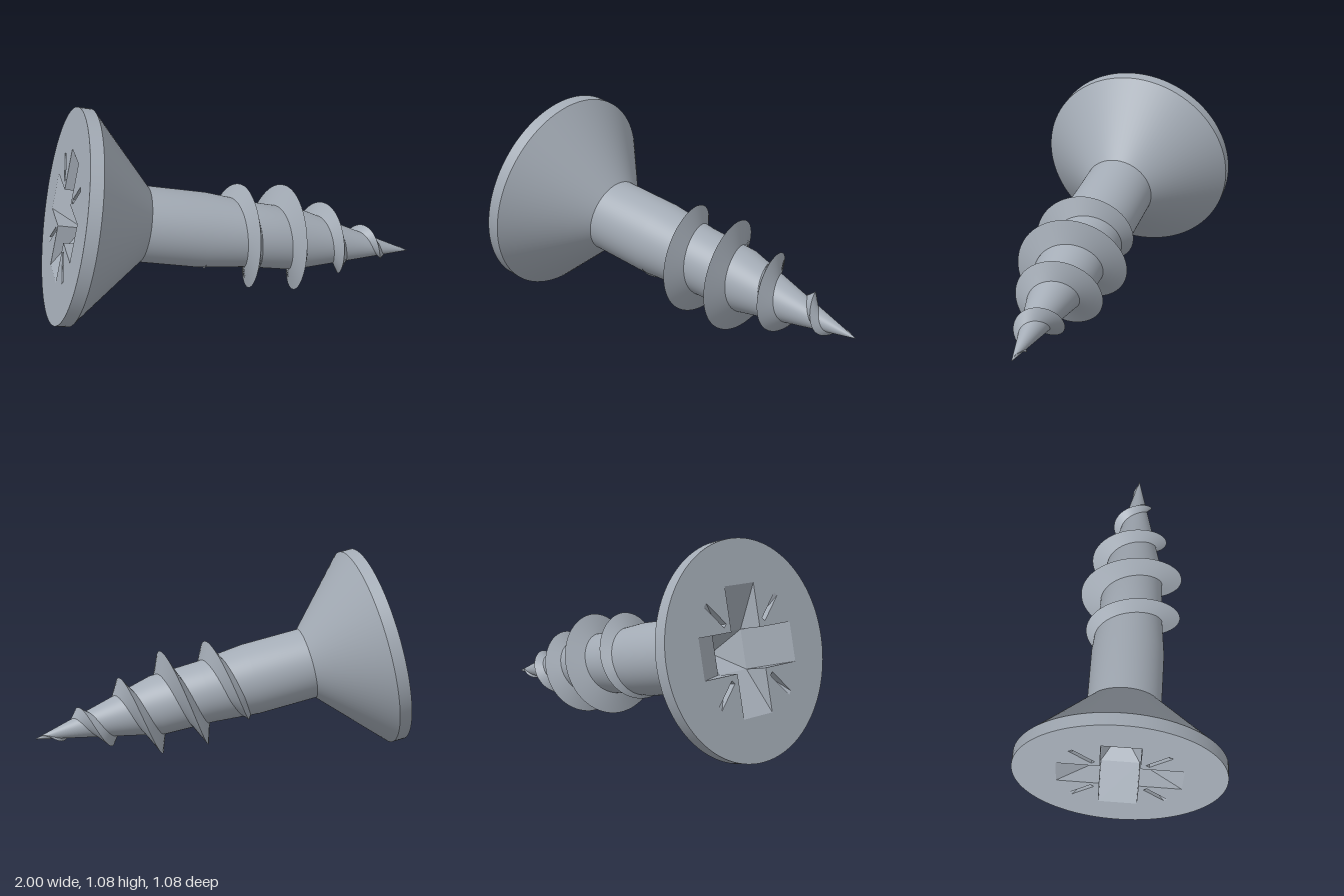
import * as THREE from 'three';

const steel = new THREE.MeshStandardMaterial({ color: 0xa4acb6, side: THREE.DoubleSide });
steel.name = 'steel grey';

const HEAD_R = 0.544;

// [distance along the axis, radius]
const CORE = [[0.4, 0.195], [0.72, 0.195], [0.98, 0.171], [1.25, 0.163], [1.92, 0.002]];
const CREST = [[0.7, 0.18], [0.79, 0.211], [0.9, 0.264], [1.03, 0.28], [1.15, 0.28], [1.28, 0.265],
  [1.41, 0.2], [1.53, 0.152], [1.67, 0.102], [1.78, 0.054], [1.9, 0.008]];

function radiusAt(table, t) {
  let i = 1;
  while (i < table.length - 1 && t > table[i][0]) i++;
  const [a, ra] = table[i - 1], [b, rb] = table[i];
  return THREE.MathUtils.lerp(ra, rb, THREE.MathUtils.clamp((t - a) / (b - a), 0, 1));
}

function geometryFrom(positions, index) {
  const g = new THREE.BufferGeometry();
  g.setAttribute('position', new THREE.Float32BufferAttribute(positions, 3));
  if (index) g.setIndex(index);
  g.computeVertexNormals();
  return g;
}

function addMesh(group, name, geometry) {
  const mesh = new THREE.Mesh(geometry, steel);
  mesh.name = name;
  group.add(mesh);
}

// Turned part along local z
function turned(profile) {
  return new THREE.LatheGeometry(profile.map(([t, r]) => new THREE.Vector2(r, t)), 96).rotateX(Math.PI / 2);
}

// One flank of the right-handed thread, between two edge functions t -> [axial, radius]
function flank(from, to) {
  const start = 0.72, end = 1.9, pitch = 0.2525, steps = 440;
  const positions = [], index = [];
  for (let i = 0; i <= steps; i++) {
    const t = start + (end - start) * i / steps;
    const a = (t - 1.152) / pitch * Math.PI * 2;
    for (const edge of [from, to]) {
      const [z, r] = edge(t);
      positions.push(r * Math.cos(a), r * Math.sin(a), z);
    }
    if (i < steps) {
      const k = i * 2;
      index.push(k, k + 2, k + 1, k + 2, k + 3, k + 1);
    }
  }
  return geometryFrom(positions, index);
}

// Edge at the thread root, on the side given by offset
function root(offset) {
  return t => {
    const height = radiusAt(CREST, t) - radiusAt(CORE, t);
    const z = t + offset * THREE.MathUtils.clamp(height / 0.045, 0.1, 1);
    return [z, Math.max(radiusAt(CORE, z) - 0.004, 0.001)];
  };
}
const crest = t => [t, radiusAt(CREST, t)];

const turn = (x, y, a) => [x * Math.cos(a) - y * Math.sin(a), x * Math.sin(a) + y * Math.cos(a)];

// Ramped groove running from the surface at radius r1 down to depth d at radius r0
function groove(half, r0, r1, depth, angle, innerWall) {
  const p = (x, y, z) => [...turn(x, y, angle), z];
  const oL = p(r1, half, 0), oR = p(r1, -half, 0);
  const tL = p(r0, half, 0), tR = p(r0, -half, 0);
  const bL = p(r0, half, depth), bR = p(r0, -half, depth);
  const faces = [oL, oR, bR, oL, bR, bL, oL, bL, tL, oR, tR, bR];
  if (innerWall) faces.push(tL, bL, bR, tL, bR, tR);
  return geometryFrom(faces.flat());
}

export function createModel() {
  const model = new THREE.Group();
  model.name = 'screw';

  // Tilted axis: local z runs from head to tip, local x points up
  const n = new THREE.Vector3(0.954, -0.227, 0.1955).normalize();
  const u = new THREE.Vector3(0, 1, 0).addScaledVector(n, -n.y).normalize();
  const v = new THREE.Vector3().crossVectors(n, u);
  const screw = new THREE.Group();
  screw.name = 'screwBody';
  screw.quaternion.setFromRotationMatrix(new THREE.Matrix4().makeBasis(u, v, n));
  screw.position.set(-0.837, 0.545, -0.006);
  model.add(screw);

  // Countersunk head and shank
  addMesh(screw, 'headRim', turned([[0, HEAD_R], [0.066, HEAD_R]]));
  addMesh(screw, 'headCone', turned([[0.066, HEAD_R], [0.4, 0.195]]));
  addMesh(screw, 'shank', turned(CORE));

  // Thread
  addMesh(screw, 'threadRearFlank', flank(root(-0.036), crest));
  addMesh(screw, 'threadFrontFlank', flank(crest, root(0.05)));

  // Head face with the cross recess and four thin diagonal slots cut out
  const w = 0.1, reach = 0.32, depth = 0.13;
  const s0 = 0.19, s1 = 0.35, sw = 0.012;
  const face = new THREE.Shape().absarc(0, 0, HEAD_R, 0, Math.PI * 2);
  const cross = [];
  for (let i = 0; i < 4; i++) {
    const a = i * Math.PI / 2, d = a + Math.PI / 4;
    for (const [x, y] of [[reach, -w], [reach, w], [w, w]]) cross.push(new THREE.Vector2(...turn(x, y, a)));
    const slot = [[s0, -sw], [s1, -sw], [s1, sw], [s0, sw]];
    face.holes.push(new THREE.Path(slot.map(([x, y]) => new THREE.Vector2(...turn(x, y, d)))));
    addMesh(screw, 'recessArm', groove(w, w, reach, depth, a, false));
    addMesh(screw, 'diagonalSlot', groove(sw, s0, s1, 0.07, d, true));
    // Sloping side of the central pit
    addMesh(screw, 'recessPit', geometryFrom(
      [[...turn(w, w, a), depth], [...turn(w, -w, a), depth], [0, 0, 0.26]].flat()));
  }
  face.holes.push(new THREE.Path(cross));
  addMesh(screw, 'headFace', new THREE.ShapeGeometry(face, 96).rotateX(Math.PI));

  return model;
}
